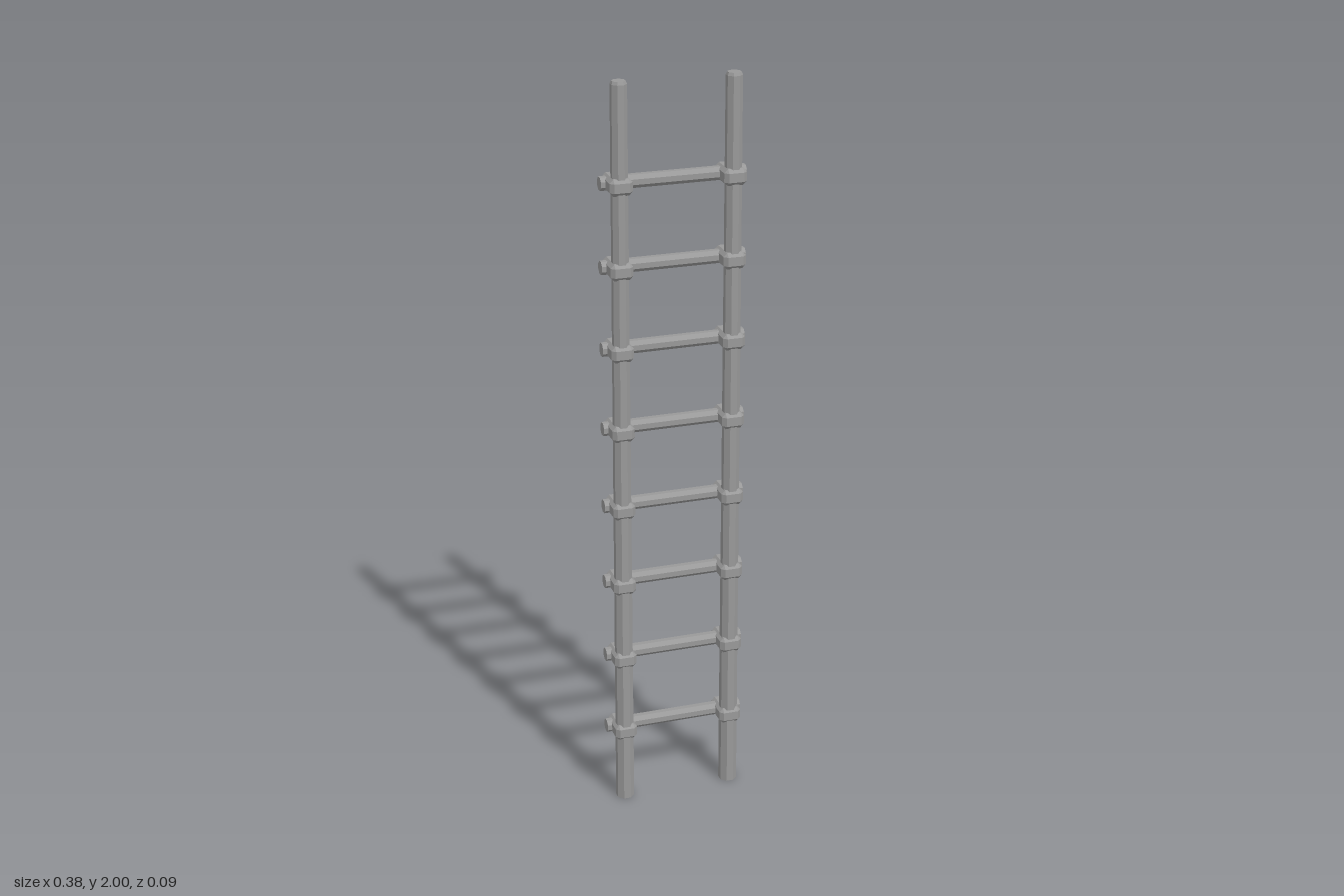
import * as THREE from 'three';
import { ConvexGeometry } from 'three/addons/geometries/ConvexGeometry.js';

// Split the faces so that every facet keeps its own flat normal
function faceted(geometry) {
  const g = geometry.index ? geometry.toNonIndexed() : geometry;
  g.computeVertexNormals();
  return g;
}

// Box with all of its edges cut off at 45 degrees
function bevelledBox(w, h, d, b) {
  const points = [];
  for (const sx of [-1, 1]) for (const sy of [-1, 1]) for (const sz of [-1, 1]) {
    const x = w / 2, y = h / 2, z = d / 2;
    points.push(
      new THREE.Vector3(sx * x, sy * (y - b), sz * (z - b)),
      new THREE.Vector3(sx * (x - b), sy * y, sz * (z - b)),
      new THREE.Vector3(sx * (x - b), sy * (y - b), sz * z)
    );
  }
  return new ConvexGeometry(points);
}

export function createModel() {
  const model = new THREE.Group();
  model.name = 'ladder';
  const grey = new THREE.MeshStandardMaterial({ color: 0x999999 });
  grey.name = 'grey';

  const add = (name, geometry, x, y, z) => {
    const mesh = new THREE.Mesh(geometry, grey);
    mesh.name = name;
    mesh.position.set(x, y, z);
    model.add(mesh);
  };

  // Eight-sided poles, slightly thicker at the foot, with a small bevel on top
  const profile = [[0, 0], [0.025, 0], [0.0215, 1.992], [0.018, 2], [0, 2]]
    .map(([r, y]) => new THREE.Vector2(r, y));
  const pole = faceted(new THREE.LatheGeometry(profile, 8).rotateY(Math.PI / 8));

  // Eight-sided rungs and the clamps that join them to the poles
  const rung = faceted(new THREE.CylinderGeometry(0.0185, 0.0185, 0.382, 8)
    .rotateY(Math.PI / 8).rotateZ(Math.PI / 2));
  const clamp = bevelledBox(0.06, 0.044, 0.09, 0.01);

  for (const side of [-1, 1]) {
    add(side > 0 ? 'leftPole' : 'rightPole', pole, side * 0.149, 0, 0.016);
  }
  for (let i = 0; i < 8; i++) {
    const y = 0.206 + i * 0.2186;
    add('rung', rung, 0, y, -0.0175);
    for (const side of [-1, 1]) {
      add(side > 0 ? 'leftClamp' : 'rightClamp', clamp, side * 0.149, y, -0.002);
    }
  }
  return model;
}
